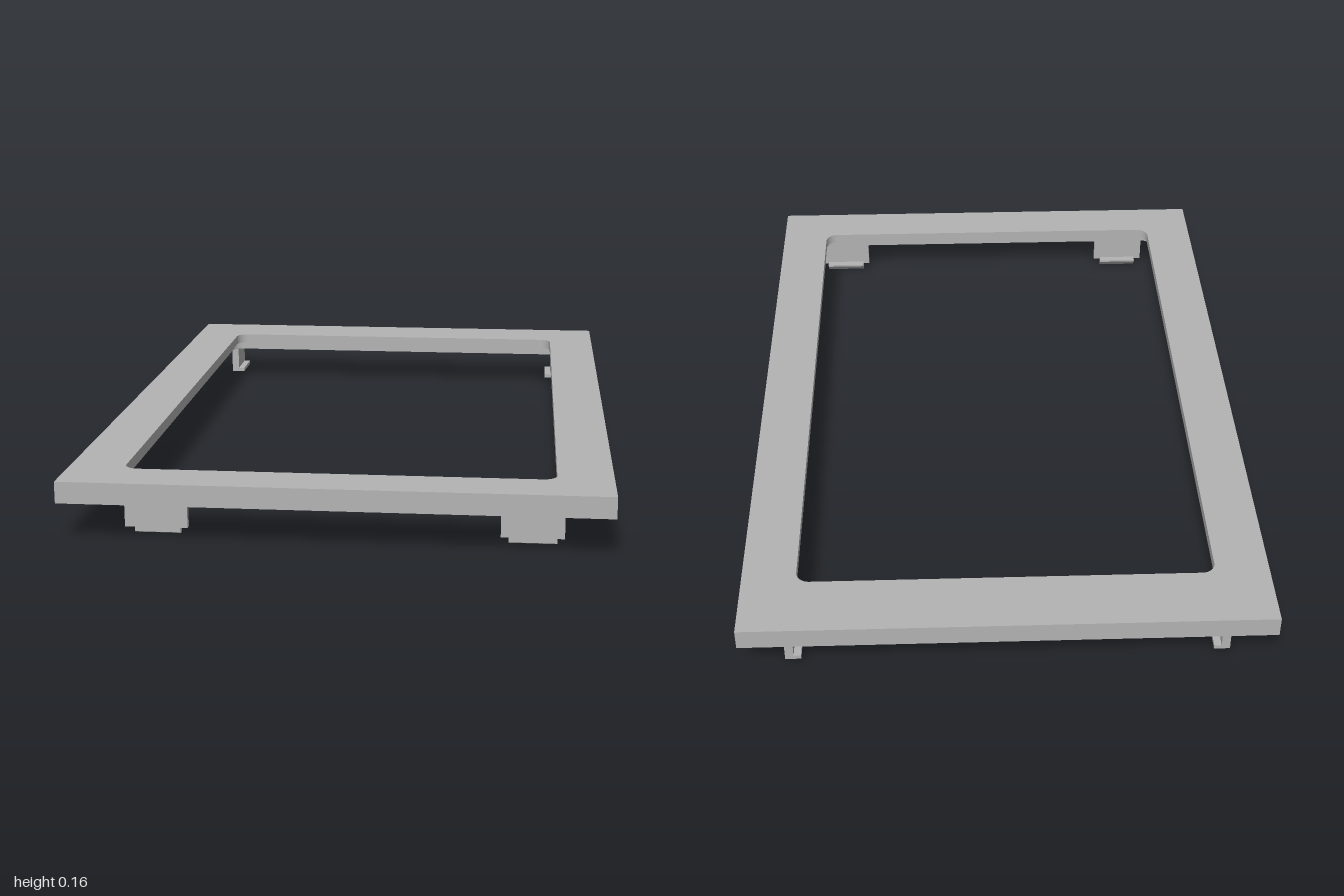
import * as THREE from 'three';

const grey = new THREE.MeshStandardMaterial({ color: 0xb3b3b3 });
grey.name = 'grey plastic';

// Rounded rectangular hole in plan (shape y = -z)
function opening(x, zBack, zFront, r) {
  const p = new THREE.Path();
  const y0 = -zFront, y1 = -zBack;
  p.moveTo(-x + r, y0);
  p.lineTo(x - r, y0);
  p.absarc(x - r, y0 + r, r, -Math.PI / 2, 0);
  p.lineTo(x, y1 - r);
  p.absarc(x - r, y1 - r, r, 0, Math.PI / 2);
  p.lineTo(-x + r, y1);
  p.absarc(-x + r, y1 - r, r, Math.PI / 2, Math.PI);
  p.lineTo(-x, y0 + r);
  p.absarc(-x + r, y0 + r, r, Math.PI, Math.PI * 1.5);
  return p;
}

// One flat layer of the frame between two heights
function frameLayer(name, y0, y1, hole) {
  const s = new THREE.Shape();
  s.moveTo(-0.68, -1);
  s.lineTo(0.68, -1);
  s.lineTo(0.68, 1);
  s.lineTo(-0.68, 1);
  s.closePath();
  s.holes.push(hole);
  const g = new THREE.ExtrudeGeometry(s, { depth: y1 - y0, bevelEnabled: false, curveSegments: 8 });
  g.rotateX(-Math.PI / 2).translate(0, y0, 0);
  return named(name, g);
}

function named(name, geometry) {
  const m = new THREE.Mesh(geometry, grey);
  m.name = name;
  return m;
}

function box(name, x0, x1, y0, y1, z0, z1) {
  const g = new THREE.BoxGeometry(x1 - x0, y1 - y0, z1 - z0);
  return named(name, g.translate((x0 + x1) / 2, (y0 + y1) / 2, (z0 + z1) / 2));
}

// Wedge running along x, from (z, y) points
function wedge(name, x0, x1, points) {
  const s = new THREE.Shape(points.map(([z, y]) => new THREE.Vector2(-z, y)));
  const g = new THREE.ExtrudeGeometry(s, { depth: x1 - x0, bevelEnabled: false });
  return named(name, g.rotateY(Math.PI / 2).translate(x0, 0, 0));
}

export function createModel() {
  const model = new THREE.Group();
  model.name = 'bezelFrame';

  // Frame with a rebate under the inner edge
  model.add(frameLayer('frameTop', 0.127, 0.155, opening(0.54, -0.825, 0.868, 0.035)));
  model.add(frameLayer('frameBottom', 0.1, 0.127, opening(0.56, -0.845, 0.888, 0.035)));

  // Front snap clips: upright plate with an inward hook
  const frontClips = [[-0.528, -0.37, -0.506, -0.39], [0.405, 0.561, 0.424, 0.543]];
  for (const [x0, x1, h0, h1] of frontClips) {
    const clip = new THREE.Group();
    clip.name = 'frontClip';
    clip.add(box('clipPlate', x0, x1, 0.02, 0.1, 0.903, 0.92));
    clip.add(wedge('clipHook', h0, h1, [[0.908, 0.026], [0.908, 0.004], [0.899, 0], [0.882, 0.02], [0.882, 0.026]]));
    model.add(clip);
  }

  for (const side of [-1, 1]) {
    // Rear snap clips: plate and a hook towards the middle
    const clip = new THREE.Group();
    clip.name = 'rearClip';
    const a = side * 0.567, b = side * 0.545, c = side * 0.526;
    clip.add(box('clipPlate', Math.min(a, b), Math.max(a, b), 0.02, 0.1, -0.964, -0.84));
    clip.add(box('clipHook', Math.min(b, c), Math.max(b, c), 0.02, 0.031, -0.964, -0.84));
    model.add(clip);

    // Locating ribs on the long sides
    const r0 = side * 0.634, r1 = side * 0.604;
    model.add(box('locatingRib', Math.min(r0, r1), Math.max(r0, r1), 0.06, 0.1, -0.455, -0.225));
  }
  return model;
}
